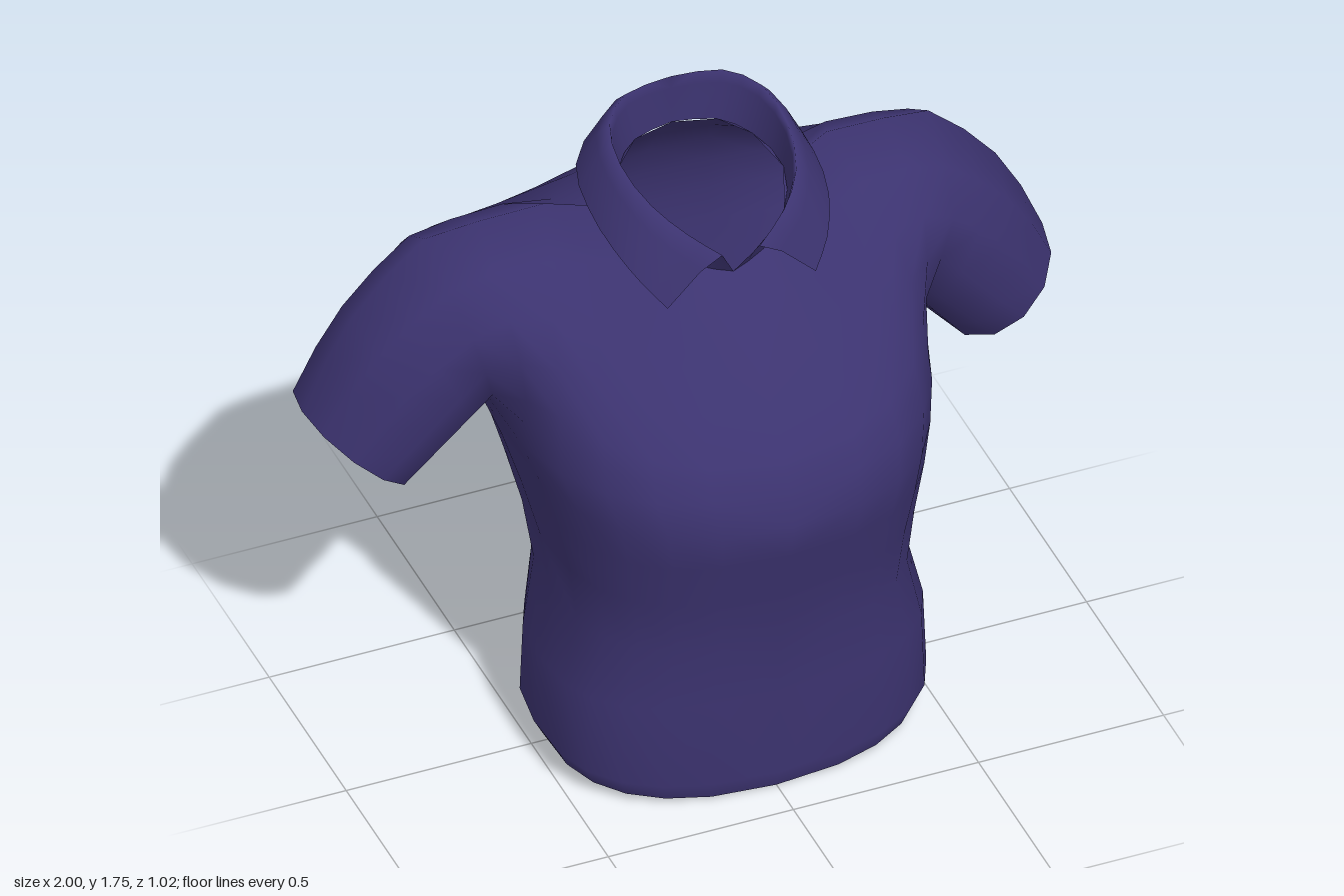
import * as THREE from 'three';
import { mergeVertices } from 'three/addons/utils/BufferGeometryUtils.js';

const V = (x, y, z) => new THREE.Vector3(x, y, z);
const cloth = new THREE.MeshStandardMaterial({ color: 0x3c3370, side: THREE.DoubleSide });
const STEPS = 6; // quads from chest ring to neckline or shoulder seam

// Adds a grid of quads p(u, v) and its mirror image to a list of corners
function addPatch(out, nu, nv, p) {
  const tri = (a, b, c) => {
    for (const q of [a, b, c]) out.push(q.x, q.y, q.z);
    for (const q of [a, c, b]) out.push(-q.x, q.y, q.z);
  };
  for (let u = 0; u < nu; u++) for (let v = 0; v < nv; v++) {
    const a = p(u, v), b = p(u + 1, v), c = p(u + 1, v + 1), d = p(u, v + 1);
    tri(a, b, c);
    tri(a, c, d);
  }
}

// Welds the corners so the cloth shades smoothly
function makeCloth(name, corners) {
  let geo = new THREE.BufferGeometry();
  geo.setAttribute('position', new THREE.Float32BufferAttribute(corners, 3));
  geo = mergeVertices(geo, 1e-4);
  geo.computeVertexNormals();
  const mesh = new THREE.Mesh(geo, cloth);
  mesh.name = name;
  return mesh;
}

// Torso rings: front y, back y, half width, front z, back z, side z
const rings = [
  [0.01, 0.09, 0.485, 0.39, -0.25, 0.04],
  [0.06, 0.14, 0.51, 0.405, -0.31, 0.04],
  [0.32, 0.32, 0.5, 0.41, -0.32, 0.04],
  [0.5, 0.5, 0.457, 0.42, -0.37, 0.02],
  [0.66, 0.66, 0.475, 0.45, -0.43, 0],
  [0.8, 0.8, 0.505, 0.485, -0.475, -0.05],
  [0.91, 0.91, 0.53, 0.508, -0.49, -0.12],
  [1.0, 1.0, 0.56, 0.475, -0.5, -0.2],
];

// Point on a torso ring, k = 0 at centre front to 12 at centre back
function torsoPoint(k, row) {
  const [yf, yb, w, zf, zb, zc] = rings[row];
  const t = k * Math.PI / 12, c = Math.cos(t), e = 0.77;
  const s = k % 12 ? Math.pow(Math.sin(t), e) : 0;
  const depth = k === 6 ? 0 : Math.pow(Math.abs(c), e);
  const z = zc + ((c > 0 ? zf : zb) - zc) * depth;
  const f = Math.pow(THREE.MathUtils.clamp((zf - z) / (zf - zb), 0, 1), 0.6);
  return V(w * s, yf + (yb - yf) * f, z);
}

// Upper panels: three points above the chest ring, from centre to armhole
const frontPanel = [
  [[0, 1.07, 0.44], [0, 1.24, 0.3], [0, 1.43, 0.11]],
  [[0.195, 1.08, 0.42], [0.16, 1.26, 0.265], [0.09, 1.46, 0.09]],
  [[0.32, 1.1, 0.355], [0.27, 1.31, 0.185], [0.17, 1.51, 0.03]],
  [[0.42, 1.13, 0.27], [0.36, 1.36, 0.1], [0.215, 1.56, -0.08]],
  [[0.49, 1.15, 0.165], [0.46, 1.37, 0.045], [0.38, 1.535, -0.2]],
  [[0.54, 1.15, 0.065], [0.56, 1.36, 0.005], [0.55, 1.507, -0.23]],
  [[0.58, 1.09, -0.06], [0.65, 1.31, -0.02], [0.68, 1.47, -0.26]],
];
const backPanel = [
  [[0, 1.2, -0.51], [0, 1.41, -0.45], [0, 1.615, -0.29]],
  [[0.19, 1.2, -0.508], [0.17, 1.4, -0.455], [0.11, 1.61, -0.265]],
  [[0.32, 1.19, -0.503], [0.3, 1.38, -0.455], [0.18, 1.59, -0.2]],
  [[0.42, 1.17, -0.495], [0.4, 1.36, -0.455], [0.215, 1.56, -0.08]],
  [[0.49, 1.15, -0.475], [0.48, 1.35, -0.455], [0.38, 1.535, -0.2]],
  [[0.54, 1.13, -0.445], [0.58, 1.34, -0.455], [0.55, 1.507, -0.23]],
  [[0.59, 1.1, -0.41], [0.66, 1.31, -0.46], [0.68, 1.47, -0.26]],
];
const column = (pts, k) => new THREE.CatmullRomCurve3(
  [torsoPoint(k, rings.length - 1), ...pts.map((p) => V(...p))]).getPoints(STEPS);

function makeBody() {
  const out = [];
  addPatch(out, 12, rings.length - 1, torsoPoint);

  // Front and back of chest and shoulders
  const front = frontPanel.map((p, i) => column(p, i));
  const back = backPanel.map((p, i) => column(p, 12 - i));
  addPatch(out, 6, STEPS, (u, v) => front[u][v]);
  addPatch(out, 6, STEPS, (u, v) => back[6 - u][v]);

  // Sleeve: armhole loop blended into a tilted oval cuff
  const armhole = [...front[6], ...back[6].slice(1, -1).reverse()];
  const n = armhole.length;
  const sleeve = (u, v) => {
    const a = (v % n) / n * Math.PI * 2, c = -Math.cos(a), s = u / 4;
    const cuff = V(0.865 + 0.135 * c, 0.89 + 0.11 * c, -0.288 + 0.205 * Math.sin(a));
    const bulge = Math.sin(Math.PI * s) * Math.max(0, c);
    return armhole[v % n].clone().lerp(cuff, s).add(V(0.028 * bulge, 0.035 * bulge, 0));
  };
  addPatch(out, 4, n, sleeve);
  return makeCloth('shirtBody', out);
}

// Collar: stand rising from the neckline, folded over into a pointed fall
function makeCollar() {
  const neck = [...frontPanel.slice(0, 4), ...backPanel.slice(0, 3).reverse()].map((p) => p[2]);
  const fold = [[0.05, 1.53, 0.16], [0.13, 1.595, 0.125], [0.195, 1.65, 0.05], [0.225, 1.695, -0.08],
    [0.205, 1.735, -0.2], [0.13, 1.752, -0.275], [0, 1.755, -0.295]];
  const edge = [[0.2, 1.41, 0.165], [0.25, 1.47, 0.12], [0.292, 1.53, 0.03], [0.305, 1.57, -0.1],
    [0.28, 1.6, -0.24], [0.17, 1.63, -0.345], [0, 1.64, -0.37]];
  const n = 12;
  const [base, top, hem] = [neck, fold, edge].map(
    (list) => new THREE.CatmullRomCurve3(list.map((p) => V(...p))).getPoints(n));
  const sections = base.map((a, i) => {
    const b = top[i], c = hem[i];
    const roll = b.clone().lerp(c, 0.4).add(V(0, 0.015, 0));
    return [c, roll, b, a.clone().lerp(b, 0.75), a];
  });
  const out = [];
  addPatch(out, n, 4, (u, v) => sections[u][v]);
  return makeCloth('collar', out);
}

export function createModel() {
  const shirt = new THREE.Group();
  shirt.name = 'shirt';
  shirt.add(makeBody(), makeCollar());
  return shirt;
}
